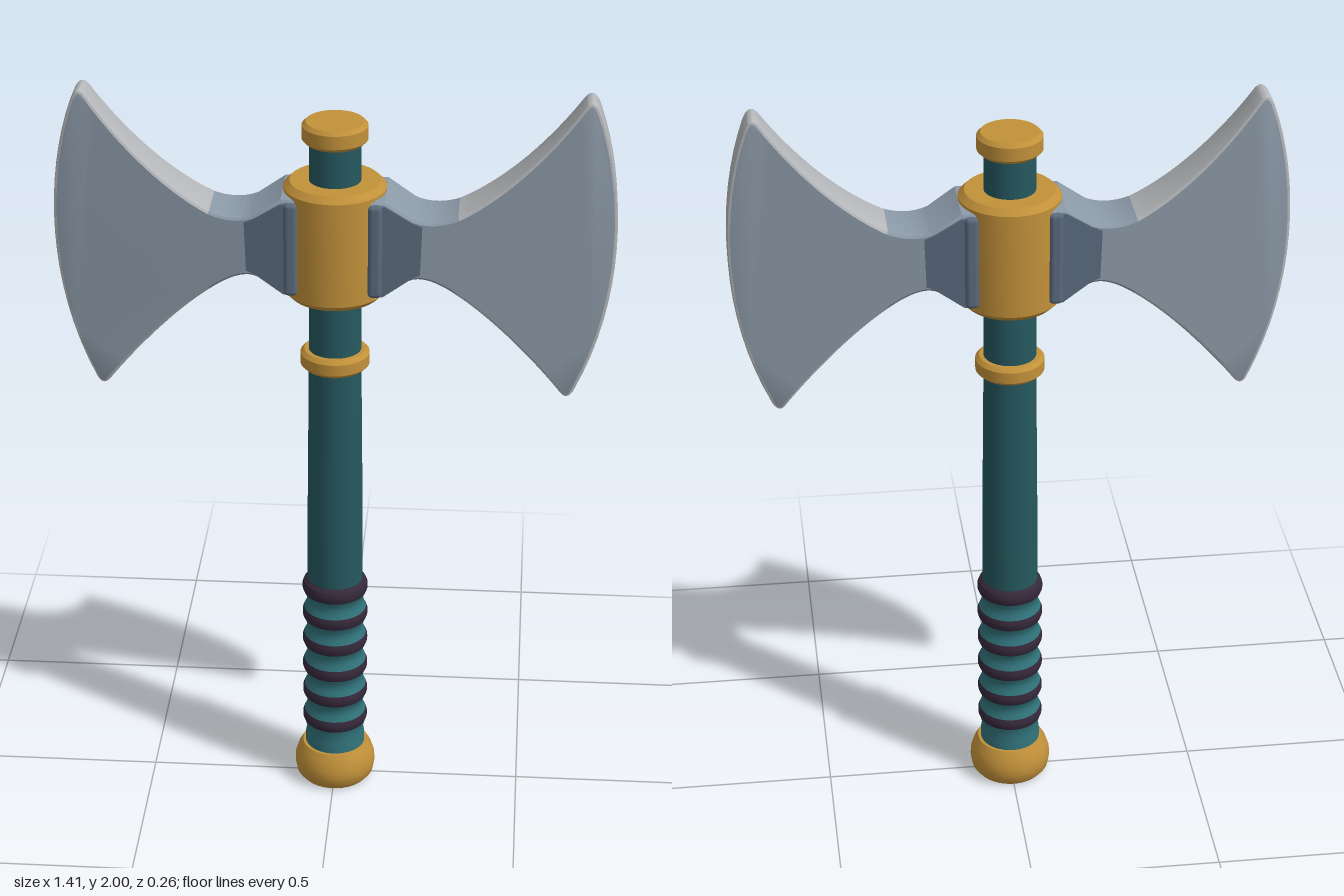
import * as THREE from 'three';
import { toCreasedNormals } from 'three/addons/utils/BufferGeometryUtils.js';
import { RoundedBoxGeometry } from 'three/addons/geometries/RoundedBoxGeometry.js';

const material = (name, color) => {
  const m = new THREE.MeshStandardMaterial({ color });
  m.name = name;
  return m;
};

const vectors = (points) => points.map(([x, y]) => new THREE.Vector2(x, y));

// The head narrows in thickness from the collar to the cutting edge
const halfThickness = (x) => 0.099 - 0.089 * x;

// Extrude an outline to z = -0.5..0.5, then taper it along x
function taperedPlate(shape, bevel, extra) {
  const geo = new THREE.ExtrudeGeometry(shape, {
    depth: bevel ? 0.8 : 1, curveSegments: 16, bevelEnabled: bevel,
    bevelThickness: 0.1, bevelSize: 0.008, bevelOffset: -0.008, bevelSegments: 2,
  });
  geo.translate(0, 0, bevel ? -0.4 : -0.5);
  const p = geo.attributes.position;
  for (let i = 0; i < p.count; i++) {
    p.setZ(i, p.getZ(i) * 2 * (halfThickness(p.getX(i)) + extra));
  }
  return toCreasedNormals(geo, 0.45);
}

// Steel on the faces and neck (group 0), bright rim beyond the neck (group 1)
function colourRim(geo) {
  const p = geo.attributes.position;
  const sides = geo.groups.find((g) => g.materialIndex === 1);
  geo.clearGroups();
  let start = 0, current = 0;
  for (let i = 0; i < p.count; i += 3) {
    const x = (p.getX(i) + p.getX(i + 1) + p.getX(i + 2)) / 3;
    const rim = i >= sides.start && i < sides.start + sides.count && x > 0.31 ? 1 : 0;
    if (rim !== current) {
      if (i > start) geo.addGroup(start, i - start, current);
      start = i;
      current = rim;
    }
  }
  geo.addGroup(start, p.count - start, current);
  return geo;
}

export function createModel() {
  const model = new THREE.Group();
  model.name = 'doubleAxe';
  const gold = material('gold', 0xc2913a);
  const teal = material('dark teal', 0x25585f);
  const gripTeal = material('grip teal', 0x31737b);
  const wrap = material('dark plum', 0x35283a);
  const steel = material('steel', 0x8b99a7);
  const rim = material('bright steel', 0xb4b6b9);
  const iron = material('blue iron', 0x5a6a7d);

  const add = (name, geo, mat, parent = model) => {
    const mesh = new THREE.Mesh(geo, mat);
    mesh.name = name;
    parent.add(mesh);
    return mesh;
  };
  const turned = (name, profile, mat, crease = 0.5) =>
    add(name, toCreasedNormals(new THREE.LatheGeometry(vectors(profile), 40), crease), mat);
  // Turned ring with chamfered rims
  const ring = (name, y0, y1, r, c) =>
    turned(name, [[0, y0], [r - c, y0], [r, y0 + c], [r, y1 - c], [r - c, y1], [0, y1]], gold);

  // Handle
  turned('shaft', [[0.074, 0.6], [0.073, 0.8], [0.068, 1.25], [0.065, 1.88]], teal);
  ring('topCap', 1.865, 1.92, 0.083, 0.01);
  ring('shaftRing', 1.25, 1.3, 0.089, 0.01);
  ring('headCollar', 1.455, 1.765, 0.13, 0.016);
  turned('pommel', [[0, 0], [0.092, 0], [0.104, 0.015], [0.109, 0.04], [0.108, 0.06],
    [0.1, 0.085], [0.088, 0.106], [0, 0.106]], gold, 0.6);

  // Grip: dark bands with waisted teal sections between them
  const pitch = 0.081, firstBand = 0.192, h = 0.016;
  turned('gripBase', [[0.08, 0.1], [0.08, 0.13], [0.076, 0.15], [0.083, firstBand - h]], gripTeal, 1);
  for (let i = 0; i < 6; i++) {
    const y = firstBand + i * pitch;
    turned('gripBand', [[0.083, y - h], [0.087, y - 0.006], [0.087, y + 0.006], [0.083, y + h]], wrap, 1);
    if (i < 5) {
      turned('gripSection', [[0.083, y + h], [0.077, y + 0.029], [0.075, y + pitch / 2],
        [0.077, y + pitch - 0.029], [0.083, y + pitch - h]], gripTeal, 1);
    }
  }
  turned('gripTop', [[0.083, firstBand + 5 * pitch + h], [0.07, 0.625]], wrap, 1);

  // Blade outline: neck, lower horn, cutting edge, upper horn
  const outline = new THREE.Shape();
  outline.moveTo(0.04, 1.48);
  outline.lineTo(0.125, 1.48);
  outline.lineTo(0.19, 1.525);
  outline.quadraticCurveTo(0.23, 1.545, 0.31, 1.485);
  outline.bezierCurveTo(0.4, 1.42, 0.51, 1.3, 0.58, 1.208);
  outline.quadraticCurveTo(0.598, 1.19, 0.612, 1.215);
  outline.bezierCurveTo(0.735, 1.47, 0.725, 1.77, 0.652, 1.97);
  outline.quadraticCurveTo(0.635, 2.015, 0.612, 1.985);
  outline.bezierCurveTo(0.54, 1.88, 0.43, 1.76, 0.31, 1.698);
  outline.quadraticCurveTo(0.25, 1.675, 0.2, 1.695);
  outline.lineTo(0.13, 1.742);
  outline.lineTo(0.04, 1.742);
  const bladeGeo = colourRim(taperedPlate(outline, true, 0));

  // Dark cheek plate over the neck
  const cheekShape = new THREE.Shape(vectors([[0.09, 1.49], [0.125, 1.49], [0.19, 1.535],
    [0.218, 1.545], [0.222, 1.675], [0.195, 1.688], [0.13, 1.73], [0.09, 1.73]]));
  const cheekGeo = taperedPlate(cheekShape, false, 0.003);
  const clampGeo = new RoundedBoxGeometry(0.036, 0.25, 0.05, 2, 0.012);

  for (const side of [1, -1]) {
    const half = new THREE.Group();
    half.name = side > 0 ? 'leftBlade' : 'rightBlade';
    if (side < 0) half.rotation.y = Math.PI;
    add('blade', bladeGeo, [steel, rim], half);
    add('cheekPlate', cheekGeo, iron, half);
    for (const z of [-0.077, 0.077]) {
      add('clampBar', clampGeo, iron, half).position.set(0.105, 1.61, z);
    }
    model.add(half);
  }
  return model;
}
